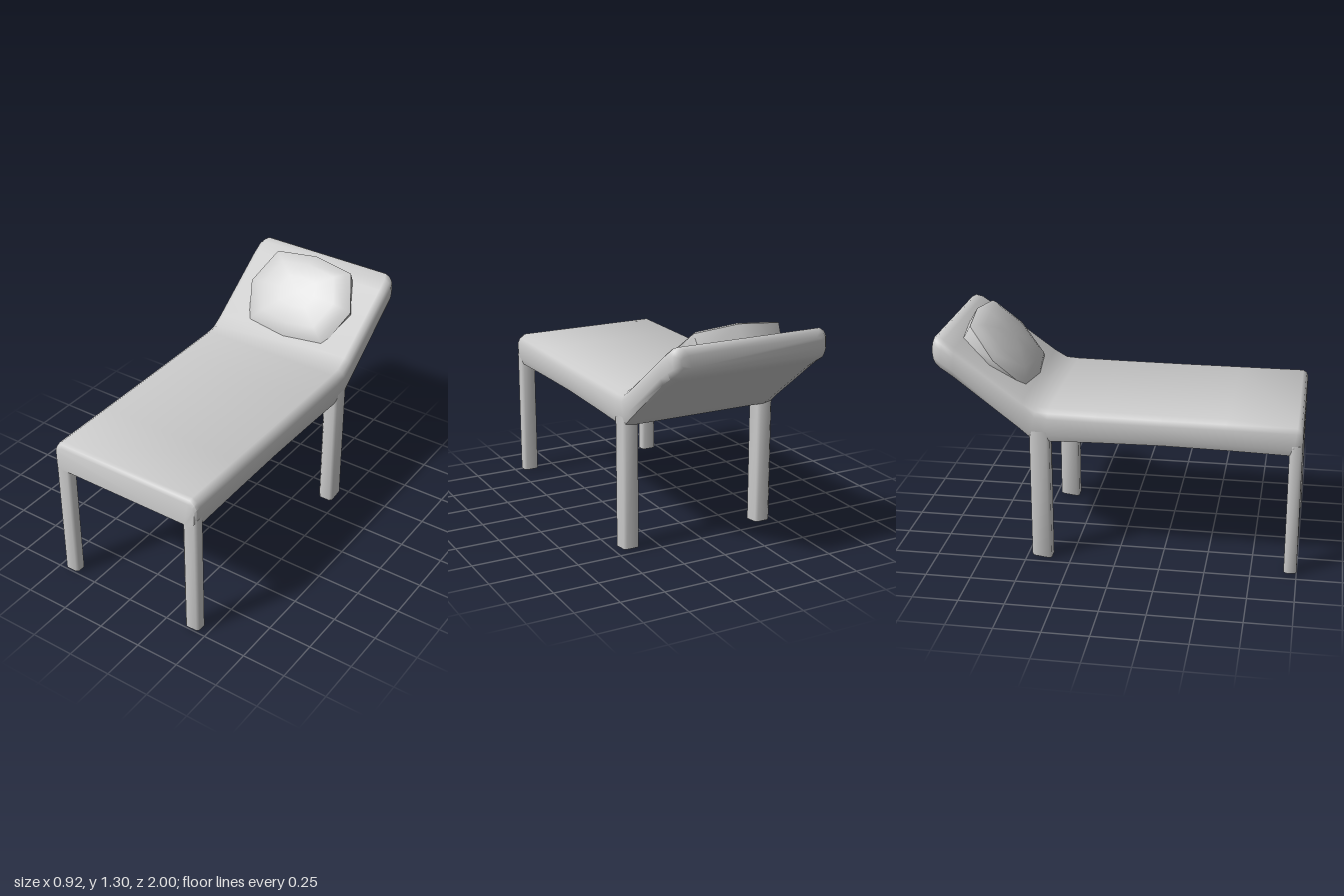
import * as THREE from 'three';
import { toCreasedNormals } from 'three/addons/utils/BufferGeometryUtils.js';

const material = new THREE.MeshStandardMaterial({ color: 0xcccccc });

// Skins a list of closed rings (counter-clockwise seen from the first ring's outer end), with end caps.
function loft(name, rings, crease) {
  const n = rings[0].length, index = [];
  rings.slice(1).forEach((_, i) => {
    for (let j = 0; j < n; j++) {
      const k = (j + 1) % n, a = i * n + j, b = i * n + k, c = b + n, d = a + n;
      index.push(a, d, b, d, c, b);
    }
  });
  const last = (rings.length - 1) * n;
  for (let j = 1; j < n - 1; j++) index.push(0, j, j + 1, last, last + j + 1, last + j);
  const geometry = new THREE.BufferGeometry();
  geometry.setAttribute('position', new THREE.Float32BufferAttribute(rings.flat(2), 3));
  geometry.setIndex(index);
  const mesh = new THREE.Mesh(toCreasedNormals(geometry, crease), material);
  mesh.name = name;
  return mesh;
}

// Padded bed: rounded cross-sections swept along the flat seat and up the raised back.
function makeBed() {
  // top z, top y, bottom z, bottom y, half width, bottom edge lift
  const stations = [
    [1.0, 0.85, 1.0, 0.71, 0.448, 0.01],
    [0.99, 0.87, 0.985, 0.703, 0.458, 0.01],
    [0.97, 0.88, 0.95, 0.70, 0.46, 0.01],
    [0.6, 0.88, 0.6, 0.70, 0.46, 0.06],
    [0.25, 0.88, 0.25, 0.70, 0.46, 0.09],
    [-0.1, 0.882, -0.1, 0.70, 0.46, 0.06],
    [-0.36, 0.885, -0.39, 0.70, 0.46, 0.02],
    [-0.43, 0.89, -0.47, 0.715, 0.46, 0.05],
    [-0.5, 0.93, -0.53, 0.76, 0.46, 0.08],
    [-0.87, 1.2, -0.88, 1.03, 0.46, 0.1],
    [-0.93, 1.242, -0.95, 1.075, 0.457, 0.1],
    [-0.967, 1.255, -0.98, 1.1, 0.445, 0.1],
    [-0.988, 1.245, -0.993, 1.12, 0.43, 0.1],
    [-0.998, 1.215, -1.0, 1.15, 0.41, 0.1],
  ];
  const rings = stations.map(([tz, ty, bz, by, w, lift]) => {
    const half = [[w - 0.06, 0], [w - 0.012, lift], [w, lift + 0.2], [w, 0.72], [w - 0.012, 0.88], [w - 0.04, 1]];
    const section = [...half, ...half.map(([x, t]) => [-x, t]).reverse()];
    return section.map(([x, t]) => [x, by + (ty - by) * t, bz + (tz - bz) * t]);
  });
  return loft('paddedBed', rings, 0.9);
}

// Octagonal head cushion, thicker at its upper end, laid on the slope of the back.
function makeCushion() {
  const rim = [[0, 0.245], [-0.25, 0.21], [-0.34, 0], [-0.255, -0.23], [0, -0.27],
    [0.255, -0.23], [0.34, 0], [0.25, 0.21]];
  // scale, height above the back, tilt
  const levels = [[0.06, 0.102, 0.19], [0.35, 0.1, 0.19], [0.7, 0.083, 0.2], [0.9, 0.062, 0.2],
    [1, 0.038, 0.22], [0.95, -0.03, 0]];
  const rings = levels.map(([s, h, tilt]) => rim.map(([x, v]) => {
    const along = 0.28 + v * s, up = h + v * s * tilt;
    return [x * s, 0.915 + along * 0.585 + up * 0.811, -0.48 - along * 0.811 + up * 0.585];
  }));
  return loft('headCushion', rings, 1.0);
}

// Straight leg with eased vertical edges; the foot may slope from front to back.
function makeLeg(name, side, zFront, zBack, yFront, yBack) {
  const cx = 0.415 * side, cz = (zFront + zBack) / 2, w = 0.045, d = (zFront - zBack) / 2, c = 0.014;
  const section = [[w - c, d], [w, d - c], [w, c - d], [w - c, -d], [c - w, -d], [-w, c - d], [-w, d - c], [c - w, d]];
  const ring = (height) => section.map(([x, z]) => [cx + x, height(z), cz + z]);
  const foot = (z) => yBack + (yFront - yBack) * (z + d) / (2 * d);
  return loft(name, [ring(() => 0.76), ring(foot)], 0.9);
}

export function createModel() {
  const model = new THREE.Group();
  model.name = 'lounger';
  model.add(makeBed(), makeCushion());
  for (const [label, side] of [['Left', 1], ['Right', -1]]) {
    model.add(makeLeg('front' + label + 'Leg', side, 1.0, 0.93, 0.012, 0.012));
    model.add(makeLeg('back' + label + 'Leg', side, -0.36, -0.47, 0, 0.014));
  }
  return model;
}
